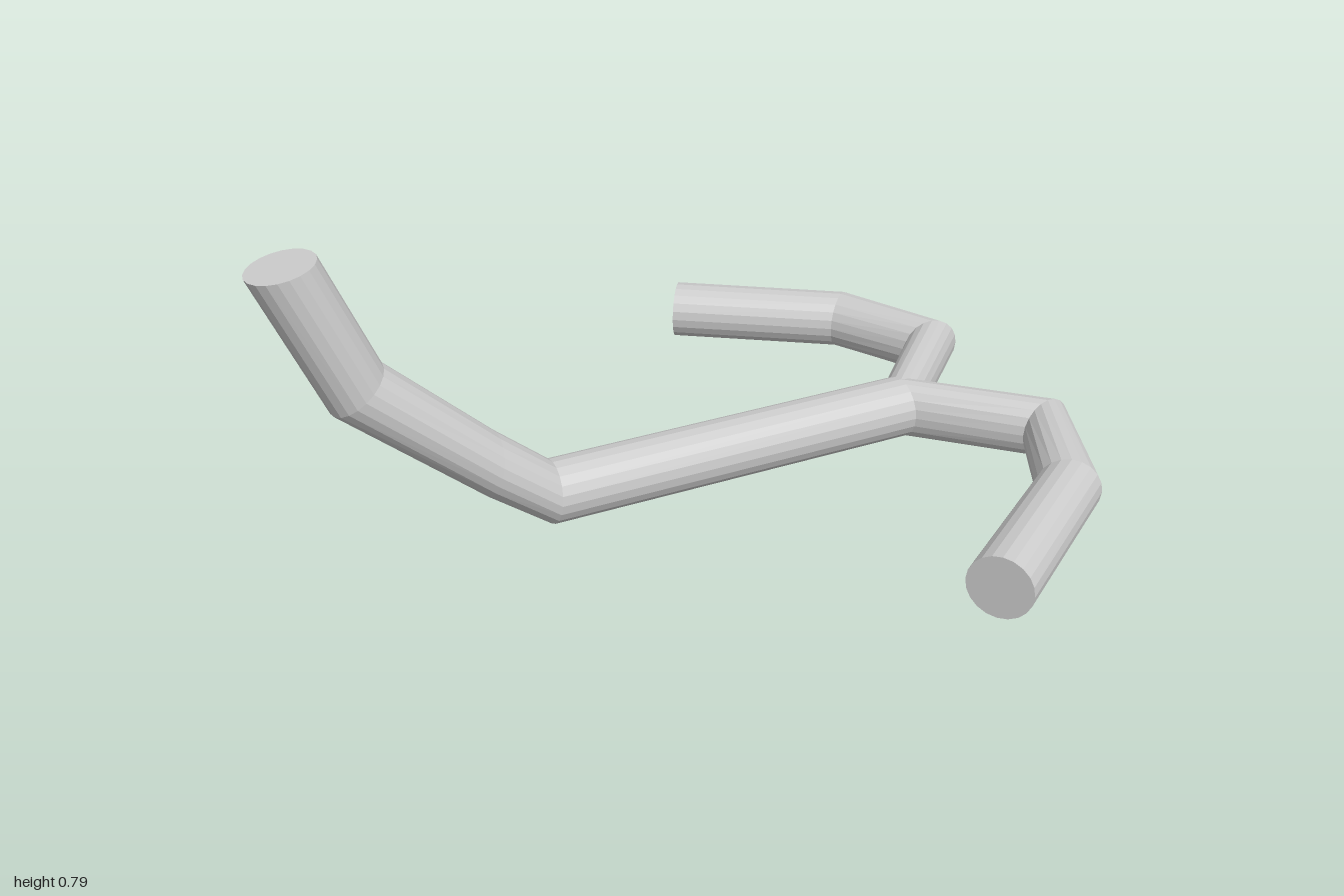
import * as THREE from 'three';

const RADIUS = 0.079;
const SIDES = 20;
const material = new THREE.MeshStandardMaterial({ color: 0xcccccc, flatShading: true });

// Straight-jointed pipe swept through rings. Each station is [centre, facing direction];
// planeNormal is perpendicular to the plane in which the pipe bends.
function pipe(name, stations, planeNormal, capStart, capEnd) {
  const positions = [];
  const index = [];
  for (const [centre, facing] of stations) {
    const t = new THREE.Vector3(...facing).normalize();
    const u = planeNormal.clone().cross(t);
    for (let j = 0; j < SIDES; j++) {
      const a = (j / SIDES) * Math.PI * 2;
      const p = new THREE.Vector3(...centre)
        .addScaledVector(u, RADIUS * Math.cos(a))
        .addScaledVector(planeNormal, RADIUS * Math.sin(a));
      positions.push(p.x, p.y, p.z);
    }
  }
  const last = stations.length - 1;
  for (let i = 0; i < last; i++) {
    for (let j = 0; j < SIDES; j++) {
      const k = (j + 1) % SIDES;
      const a = i * SIDES + j, b = i * SIDES + k;
      index.push(a, b, a + SIDES, b, b + SIDES, a + SIDES);
    }
  }
  // Flat end discs
  const end = last * SIDES;
  for (let j = 1; j < SIDES - 1; j++) {
    if (capStart) index.push(0, j + 1, j);
    if (capEnd) index.push(end, end + j, end + j + 1);
  }
  const geometry = new THREE.BufferGeometry();
  geometry.setAttribute('position', new THREE.Float32BufferAttribute(positions, 3));
  geometry.setIndex(index);
  const flat = geometry.toNonIndexed();
  flat.computeVertexNormals();
  const mesh = new THREE.Mesh(flat, material);
  mesh.name = name;
  return mesh;
}

export function createModel() {
  const group = new THREE.Group();
  group.name = 'forkedPipe';
  const y = RADIUS;

  // Stem: raised end, bending down into the long level shaft
  group.add(pipe('stem', [
    [[-0.922, 0.78, 0], [0.18, -0.98, 0]],
    [[-0.788, 0.465, 0], [0.61, -0.79, 0]],
    [[-0.49, 0.198, 0], [0.97, -0.25, 0]],
    [[-0.345, 0.083, 0], [1, -0.12, 0]],
    [[0.645, y, 0], [1, 0, 0]],
  ], new THREE.Vector3(0, 0, 1), true, false));

  // Two mirrored prongs that spread from the shaft and hook back
  for (const [name, s] of [['frontProng', 1], ['backProng', -1]]) {
    group.add(pipe(name, [
      [[0.645, y, 0], [1, 0, 0]],
      [[0.918, y, s * 0.262], [0.16, 0, s * 0.987]],
      [[0.783, y, s * 0.53], [-0.64, 0, s * 0.77]],
      [[0.385, y, s * 0.8], [-0.81, 0, s * 0.58]],
    ], new THREE.Vector3(0, 1, 0), false, true));
  }
  return group;
}
